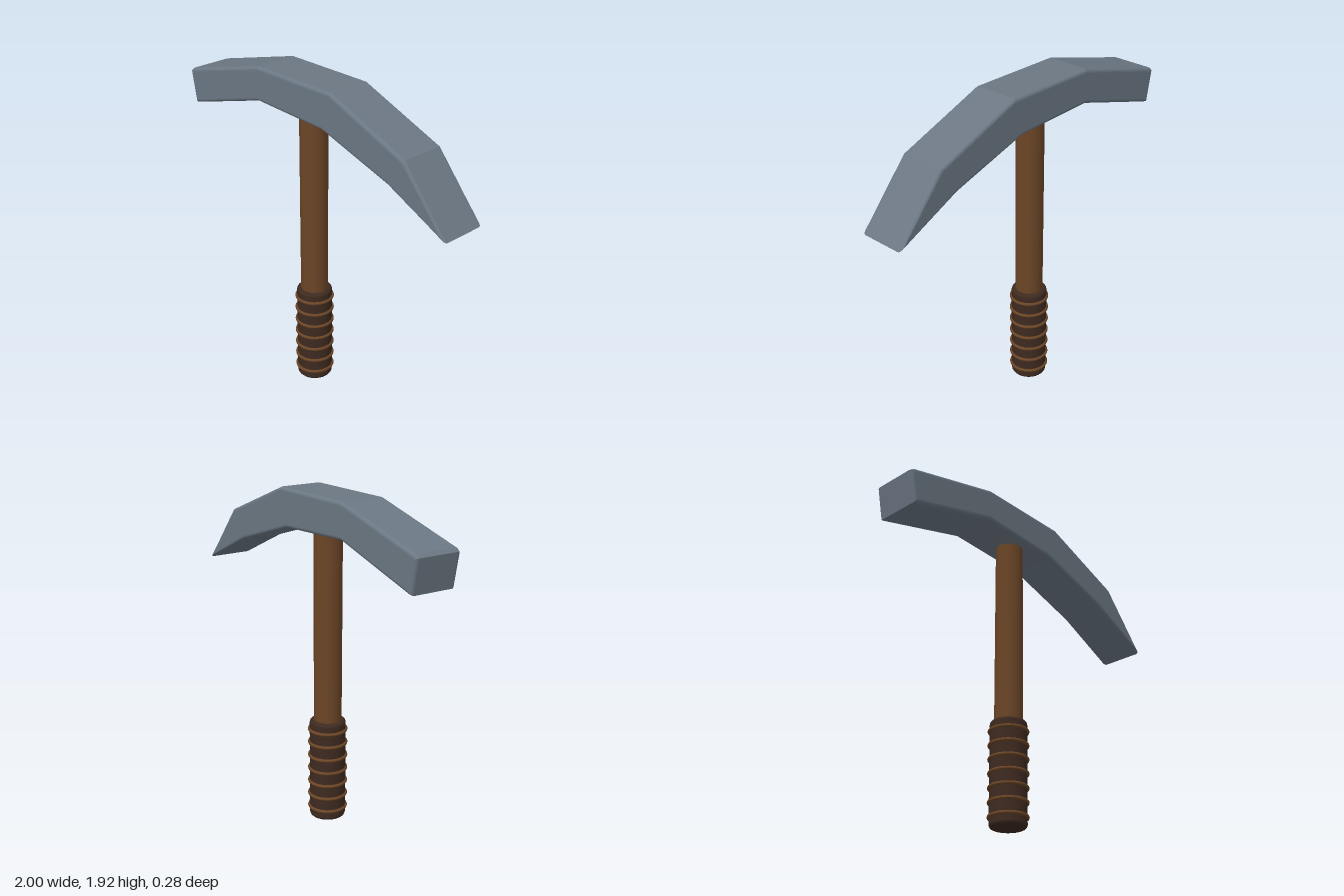
import * as THREE from 'three';

const HANDLE_X = -0.085;

function part(parent, name, geometry, color) {
  const mesh = new THREE.Mesh(geometry, new THREE.MeshStandardMaterial({ color }));
  mesh.name = name;
  parent.add(mesh);
  return mesh;
}

// Arched head outline: blunt end at -x, pointed end at +x
function headGeometry() {
  const outline = [
    [-0.965, 1.555], [-0.945, 1.558], [-0.39, 1.72], [0.12, 1.7], [0.6, 1.55], [0.995, 1.37],
    [0.705, 1.715], [0.18, 1.92], [-0.39, 1.92], [-0.98, 1.762], [-1, 1.745],
  ];
  const shape = new THREE.Shape(outline.map(([x, y]) => new THREE.Vector2(x, y)));
  const bevel = 0.02, halfDepth = 0.14;
  const geometry = new THREE.ExtrudeGeometry(shape, {
    depth: 2 * (halfDepth - bevel), bevelEnabled: true, bevelSize: bevel,
    bevelThickness: bevel, bevelOffset: -bevel, bevelSegments: 5,
  });
  return geometry.translate(0, 0, bevel - halfDepth);
}

// Solid grip with rounded rims, turned around the handle axis
function gripGeometry(radius, height, rim) {
  const profile = [new THREE.Vector2(0, 0)];
  for (let i = 0; i <= 5; i++) {
    const a = (i / 5) * Math.PI / 2;
    profile.push(new THREE.Vector2(radius - rim + rim * Math.sin(a), rim - rim * Math.cos(a)));
  }
  for (let i = 0; i <= 5; i++) {
    const a = (i / 5) * Math.PI / 2;
    profile.push(new THREE.Vector2(radius - rim + rim * Math.cos(a), height - rim + rim * Math.sin(a)));
  }
  profile.push(new THREE.Vector2(0, height));
  return new THREE.LatheGeometry(profile, 32);
}

export function createModel() {
  const model = new THREE.Group();
  model.name = 'pickaxe';

  part(model, 'head', headGeometry(), 0x6b7783);

  const handle = new THREE.Group();
  handle.name = 'handle';
  handle.position.x = HANDLE_X;
  model.add(handle);

  const shaft = part(handle, 'shaft', new THREE.CylinderGeometry(0.08, 0.08, 1.75, 32), 0x6b4526);
  shaft.position.y = 0.92;

  part(handle, 'grip', gripGeometry(0.104, 0.605, 0.02), 0x3e2a20);

  // Evenly spaced bindings around the grip
  for (let i = 0; i < 7; i++) {
    const ring = part(handle, 'gripRing' + (i + 1), new THREE.TorusGeometry(0.105, 0.01, 10, 40), 0x6b4526);
    ring.rotation.x = Math.PI / 2;
    ring.position.y = 0.06 + i * 0.081;
  }

  return model;
}
